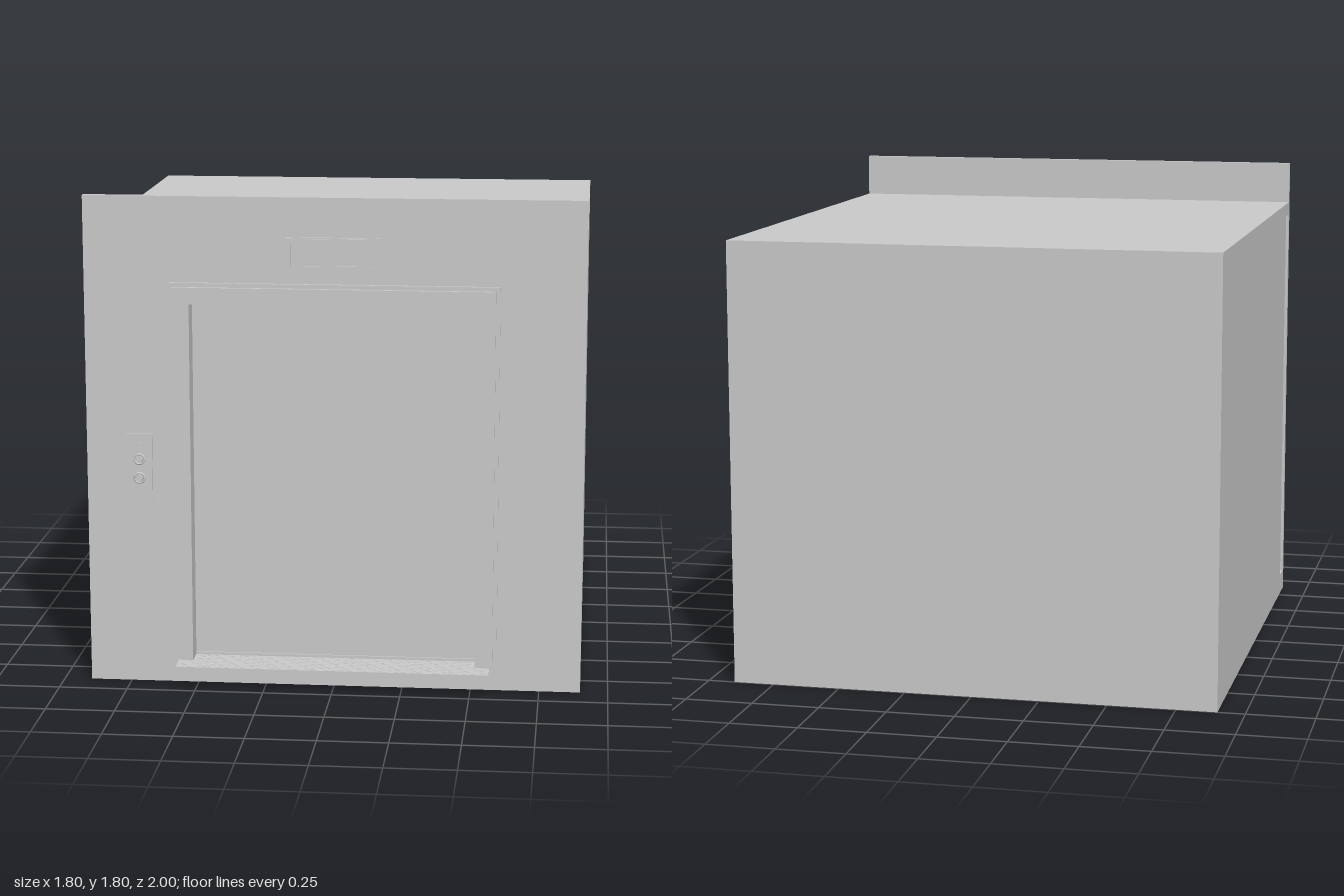
import * as THREE from 'three';

const grey = new THREE.MeshStandardMaterial({ color: 0xcccccc });

function add(parent, name, geometry, x = 0, y = 0, z = 0) {
  const mesh = new THREE.Mesh(geometry, grey);
  mesh.name = name;
  mesh.position.set(x, y, z);
  parent.add(mesh);
  return mesh;
}

// Box given by its limits on each axis
function block(parent, name, x0, x1, y0, y1, z0, z1) {
  return add(parent, name, new THREE.BoxGeometry(x1 - x0, y1 - y0, z1 - z0),
    (x0 + x1) / 2, (y0 + y1) / 2, (z0 + z1) / 2);
}

function rect(Type, x0, x1, y0, y1) {
  return new Type([[x0, y0], [x1, y0], [x1, y1], [x0, y1]].map(p => new THREE.Vector2(...p)));
}

// Upright slab with a rectangular opening; limits are [x0, x1, y0, y1]
function framed(parent, name, outer, inner, z0, z1) {
  const shape = rect(THREE.Shape, ...outer);
  shape.holes.push(rect(THREE.Path, ...inner));
  return add(parent, name, new THREE.ExtrudeGeometry(shape, { depth: z1 - z0, bevelEnabled: false }), 0, 0, z0);
}

export function createModel() {
  const model = new THREE.Group();
  model.name = 'elevator';

  // Car body: side profile with the door slot passing right through
  const profile = rect(THREE.Shape, -1, 0.865, 0, 1.64);
  profile.holes.push(rect(THREE.Path, 0.78, 0.864, 0.08, 1.59));
  const body = new THREE.ExtrudeGeometry(profile, { depth: 1.8, bevelEnabled: false });
  body.rotateY(-Math.PI / 2);
  // The thin front skin of the profile is cut away by using two bridges instead
  body.dispose();
  const car = new THREE.Group();
  car.name = 'car';
  model.add(car);
  const side = new THREE.Shape([
    [-1, 0], [0.865, 0], [0.865, 0.08], [0.78, 0.08],
    [0.78, 1.59], [0.865, 1.59], [0.865, 1.64], [-1, 1.64],
  ].map(p => new THREE.Vector2(...p)));
  const shell = new THREE.ExtrudeGeometry(side, { depth: 1.8, bevelEnabled: false });
  shell.rotateY(-Math.PI / 2);
  add(car, 'carBody', shell, 0.9);

  // Front wall with doorway
  const opening = [-0.517, 0.517, 0.085, 1.415];
  framed(model, 'frontWall', [-0.9, 0.9, 0, 1.8], opening, 0.865, 0.89);

  // Stepped door surround and the lining behind the wall
  framed(model, 'doorFrameBase', [-0.595, 0.595, 0.085, 1.49], [-0.517, 0.517, 0.0855, 1.415], 0.89, 0.902);
  framed(model, 'doorFrameFace', [-0.58, 0.58, 0.085, 1.475], [-0.517, 0.517, 0.0855, 1.415], 0.902, 0.915);
  framed(model, 'doorLining', [-0.55, 0.55, 0.08, 1.45], opening, 0.837, 0.865);

  // Sliding door and its backing sheet
  block(model, 'door', -0.53, 0.53, 0.09, 1.42, 0.803, 0.835);
  block(model, 'doorBacking', -0.6, 0.6, 0.08, 1.56, 0.78, 0.797);

  // Sill plate with low anti-slip studs
  const sill = new THREE.Group();
  sill.name = 'sill';
  model.add(sill);
  block(sill, 'sillInner', -0.517, 0.517, 0.084, 0.09, 0.835, 0.915);
  block(sill, 'sillPlate', -0.57, 0.57, 0.085, 0.09, 0.915, 1);
  block(sill, 'doorTrack', -0.517, 0.517, 0.09, 0.1, 0.835, 0.841);
  const studGeometry = new THREE.BoxGeometry(0.012, 0.0015, 0.006);
  for (let row = 0; row < 9; row++) {
    const z = 0.855 + row * 0.0168;
    const count = z < 0.915 ? 36 : 40;
    for (let i = 0; i < count; i++) {
      const x = (i - (count - 1) / 2) * 0.028 + (row % 2 ? 0.005 : -0.005);
      add(sill, 'sillStud', studGeometry, x, 0.0905, z);
    }
  }

  // Floor indicator over the door: raised rim around a recessed screen
  const indicator = new THREE.Group();
  indicator.name = 'floorIndicator';
  model.add(indicator);
  block(indicator, 'indicatorBack', -0.172, 0.172, 1.535, 1.658, 0.889, 0.9);
  framed(indicator, 'indicatorRim', [-0.168, 0.168, 1.539, 1.654], [-0.15, 0.15, 1.557, 1.636], 0.9, 0.906);

  // Call panel with lamp and two round buttons
  const panel = new THREE.Group();
  panel.name = 'callPanel';
  model.add(panel);
  block(panel, 'panelPlate', -0.755, -0.66, 0.69, 0.935, 0.889, 0.898);
  block(panel, 'panelLamp', -0.715, -0.7, 0.893, 0.903, 0.898, 0.9);
  for (const y of [0.84, 0.77]) {
    const ring = add(panel, 'buttonRing', new THREE.TorusGeometry(0.018, 0.004, 8, 24), -0.7075, y, 0.899);
    ring.scale.z = 0.8;
    const button = new THREE.CylinderGeometry(0.013, 0.015, 0.008, 24);
    button.rotateX(Math.PI / 2);
    add(panel, 'button', button, -0.7075, y, 0.902);
  }

  return model;
}
